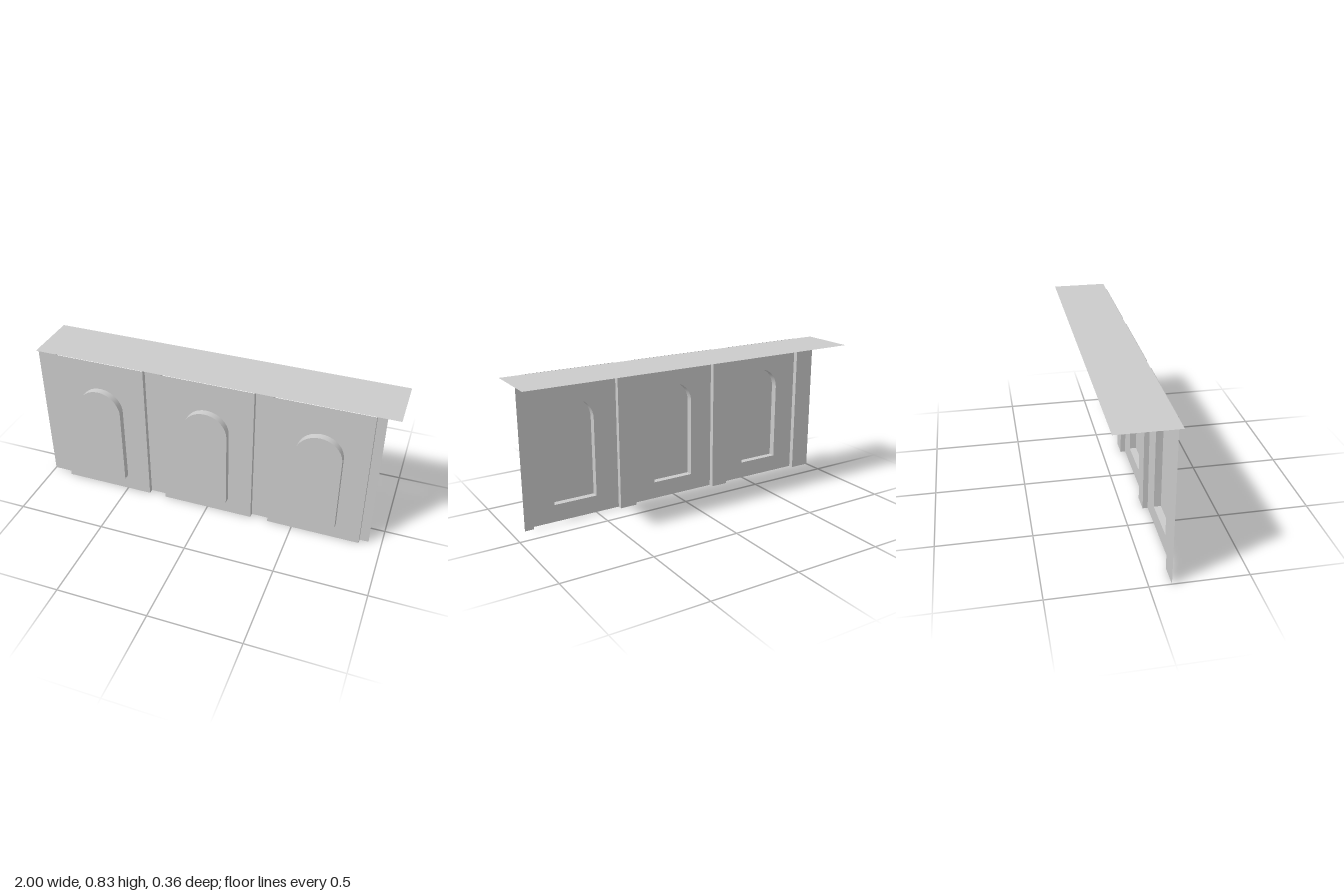
import * as THREE from 'three';
import { toCreasedNormals } from 'three/addons/utils/BufferGeometryUtils.js';

const HEIGHT = 0.835;
const BACK_Z = 0.112;   // recessed strips
const PANEL_Z = 0.14;   // main wall panels
const ARCH_Z = 0.178;   // raised arch faces
const material = new THREE.MeshStandardMaterial({ color: 0xcccccc, side: THREE.DoubleSide });

function add(parent, name, geometry, x = 0, y = 0, z = 0) {
  const mesh = new THREE.Mesh(geometry, material);
  mesh.name = name;
  mesh.position.set(x, y, z);
  parent.add(mesh);
  return mesh;
}

// Round-headed outline, counter-clockwise from the lower left corner
function archPoints() {
  const r = 0.125, bottom = 0.098, spring = 0.545, n = 20;
  const points = [new THREE.Vector2(-r, bottom), new THREE.Vector2(r, bottom)];
  for (let i = 0; i <= n; i++) {
    const a = (i / n) * Math.PI;
    points.push(new THREE.Vector2(r * Math.cos(a), spring + r * Math.sin(a)));
  }
  return points;
}

// Band following the closed outline between two depths
function bandGeometry(points, z0, z1) {
  const pos = [];
  points.forEach((p, i) => {
    const q = points[(i + 1) % points.length];
    pos.push(p.x, p.y, z0, q.x, q.y, z0, q.x, q.y, z1);
    pos.push(p.x, p.y, z0, q.x, q.y, z1, p.x, p.y, z1);
  });
  const g = new THREE.BufferGeometry();
  g.setAttribute('position', new THREE.Float32BufferAttribute(pos, 3));
  return toCreasedNormals(g, 0.6);
}

export function createModel() {
  const model = new THREE.Group();
  model.name = 'archedWall';
  const outline = archPoints();
  const half = 0.26;

  // Three bays: pierced panel, raised hollow arch and the two side returns
  for (const x of [-0.62, 0, 0.62]) {
    const bay = new THREE.Group();
    bay.name = 'bay';
    bay.position.x = x;
    model.add(bay);

    const panel = new THREE.Shape([
      new THREE.Vector2(-half, 0), new THREE.Vector2(half, 0),
      new THREE.Vector2(half, HEIGHT), new THREE.Vector2(-half, HEIGHT),
    ]);
    panel.holes.push(new THREE.Path(outline));
    add(bay, 'wallPanel', new THREE.ShapeGeometry(panel), 0, 0, PANEL_Z);
    add(bay, 'archFace', new THREE.ShapeGeometry(new THREE.Shape(outline)), 0, 0, ARCH_Z);
    add(bay, 'archReveal', bandGeometry(outline, PANEL_Z, ARCH_Z));

    for (const side of [-1, 1]) {
      const edge = add(bay, 'panelReturn', new THREE.PlaneGeometry(PANEL_Z - BACK_Z, HEIGHT),
        side * half, HEIGHT / 2, (PANEL_Z + BACK_Z) / 2);
      edge.rotation.y = side * Math.PI / 2;
    }
  }

  // Recessed strips between and beside the bays
  for (const [x0, x1] of [[-1, -0.88], [-0.36, -0.26], [0.26, 0.36], [0.88, 0.93]]) {
    add(model, 'recessedStrip', new THREE.PlaneGeometry(x1 - x0, HEIGHT),
      (x0 + x1) / 2, HEIGHT / 2, BACK_Z);
  }

  // Thin flat roof reaching backwards
  const roofFront = 0.137, roofBack = -0.178;
  const roof = add(model, 'roof', new THREE.PlaneGeometry(2, roofFront - roofBack),
    0, HEIGHT, (roofFront + roofBack) / 2);
  roof.rotation.x = -Math.PI / 2;

  return model;
}
